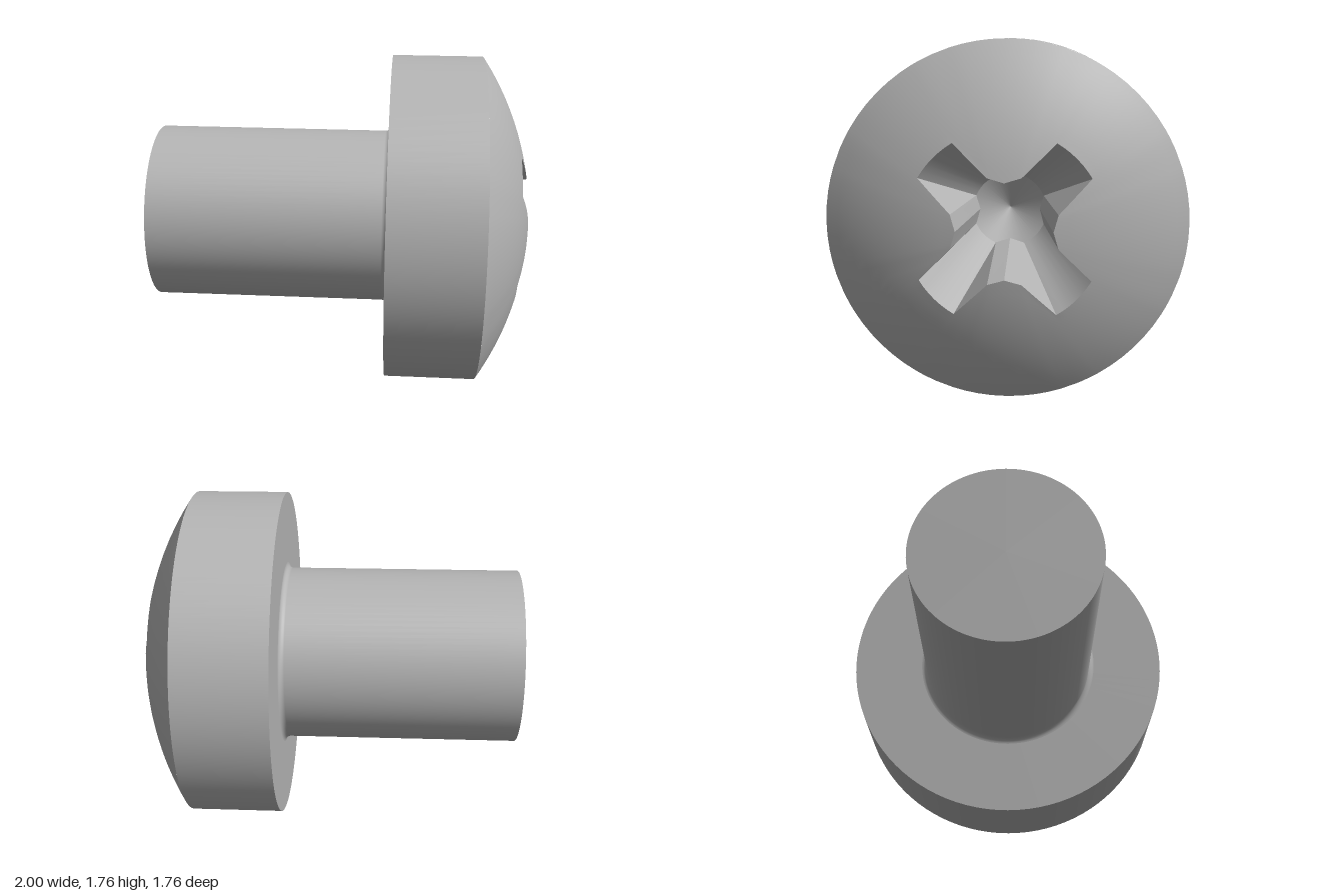
import * as THREE from 'three';
import { toCreasedNormals } from 'three/addons/utils/BufferGeometryUtils.js';

const SEGMENTS = 96;
const SHANK_R = 0.468, HEAD_R = 0.88, END = -0.996, SEAT = 0.262, RIM = 0.743;
const DOME_R = 1.55, DOME_CENTRE = RIM - Math.sqrt(DOME_R ** 2 - HEAD_R ** 2);
const FLOOR_R = 0.19, FLOOR = 0.38;

const domeHeight = (r) => DOME_CENTRE + Math.sqrt(DOME_R ** 2 - r * r);
const floorHeight = (r) => FLOOR - (FLOOR_R - r) * 0.5;

// Surface of revolution around the screw axis (local y)
function turned(points) {
  return new THREE.LatheGeometry(points.map(([r, y]) => new THREE.Vector2(r, y)), SEGMENTS);
}

// Skin over closed rings, listed from the axis outwards, facing up the axis
function loft(rings) {
  const n = rings[0].length, index = [];
  for (let k = 0; k < rings.length - 1; k++) {
    for (let i = 0; i < n; i++) {
      const a = k * n + i, b = k * n + (i + 1) % n, c = a + n, d = b + n;
      index.push(a, b, c, b, d, c);
    }
  }
  const geometry = new THREE.BufferGeometry();
  geometry.setAttribute('position', new THREE.Float32BufferAttribute(
    rings.flat().flatMap((p) => [p.x, p.y, p.z]), 3));
  geometry.setIndex(index);
  geometry.computeVertexNormals();
  return geometry;
}

// Four-winged outline: ridge, root corner, wing corner, rounded wing tip, mirrored back
function crossOutline(ridge, root, wing) {
  const half = [];
  const edge = (p, q, steps) => {
    for (let i = 0; i < steps; i++) half.push(p.clone().lerp(q, i / steps));
  };
  edge(ridge, root, 4);
  edge(root, wing, 3);
  const start = wing.angle(), r = wing.length();
  for (let i = 0; i <= 3; i++) {
    const a = start + (Math.PI / 4 - start) * i / 3;
    half.push(new THREE.Vector2(Math.cos(a) * r, Math.sin(a) * r));
  }
  const mirrored = half.slice(1, -1).reverse().map((p) => new THREE.Vector2(p.y, p.x));
  const quarter = [...half, ...mirrored];
  return [0, 1, 2, 3].flatMap((q) => quarter.map((p) =>
    p.clone().rotateAround(new THREE.Vector2(), q * Math.PI / 2)));
}

// Place a flat outline on a surface given by height over radius
const raise = (outline, height) =>
  outline.map((p) => new THREE.Vector3(p.x, height(p.length()), p.y));

export function createModel() {
  const steel = new THREE.MeshStandardMaterial({ color: 0xb4b4b4 });
  steel.name = 'steel grey';

  const screw = new THREE.Group();
  screw.name = 'screw';
  const add = (name, geometry) => {
    const mesh = new THREE.Mesh(geometry, steel);
    mesh.name = name;
    screw.add(mesh);
  };

  // Shank with a small fillet under the head
  const fillet = 0.03, shankProfile = [[SHANK_R, END]];
  for (let i = 0; i <= 6; i++) {
    const a = i / 6 * Math.PI / 2;
    shankProfile.push([SHANK_R + fillet * (1 - Math.cos(a)), SEAT - fillet * (1 - Math.sin(a))]);
  }
  add('shankEnd', turned([[0, END], [SHANK_R, END]]));
  add('shank', turned(shankProfile));

  // Head underside and side wall
  add('headUnderside', turned([[SHANK_R + fillet, SEAT], [HEAD_R, SEAT]]));
  add('headSide', turned([[HEAD_R, SEAT], [HEAD_R, RIM]]));

  // Domed top, open around the recess
  const mouth = crossOutline(new THREE.Vector2(0.227, 0), new THREE.Vector2(0.25, 0.08),
    new THREE.Vector2(0.405, 0.242));
  const rim = mouth.map((p) => p.clone().setLength(HEAD_R));
  const domeRings = [];
  for (let k = 0; k <= 10; k++) {
    domeRings.push(raise(mouth.map((p, i) => p.clone().lerp(rim[i], k / 10)), domeHeight));
  }
  add('headDome', loft(domeRings));

  // Tapered cross recess with a shallow conical floor
  const corner = new THREE.Vector2(0.175, 0.074);
  const base = raise(crossOutline(new THREE.Vector2(0.155, 0), corner, corner), floorHeight);
  const tip = base.map(() => new THREE.Vector3(0, floorHeight(0), 0));
  add('recessFloor', toCreasedNormals(loft([tip, base]), 0.25));
  add('recessWalls', toCreasedNormals(loft([base, domeRings[0]]), 0.25));

  // Lay the screw on its side, head towards +x, drooping very slightly
  screw.rotation.z = -Math.PI / 2 - 0.0085;
  screw.position.y = 0.8865;

  const model = new THREE.Group();
  model.name = 'panHeadScrew';
  model.add(screw);
  return model;
}
